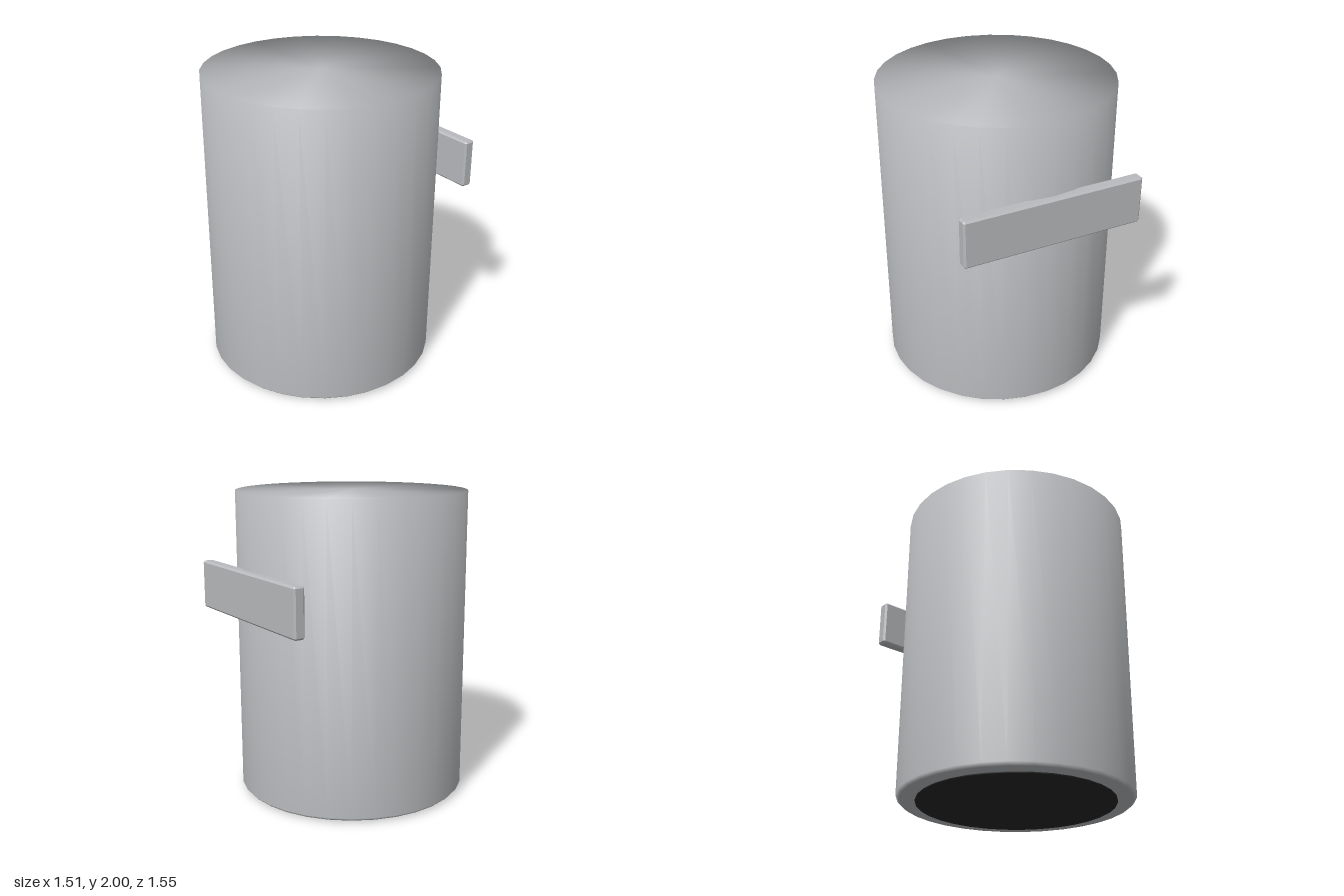
import * as THREE from 'three';
import { ConvexGeometry } from 'three/addons/geometries/ConvexGeometry.js';

const material = (name, color) => {
  const m = new THREE.MeshStandardMaterial({ color });
  m.name = name;
  return m;
};

// Box whose edges and corners are all cut by one flat chamfer
function chamferedBox(w, h, d, c) {
  const points = [];
  for (const x of [-1, 1]) for (const y of [-1, 1]) for (const z of [-1, 1]) {
    for (let axis = 0; axis < 3; axis++) {
      const inset = [c, c, c];
      inset[axis] = 0;
      points.push(new THREE.Vector3(
        x * (w / 2 - inset[0]), y * (h / 2 - inset[1]), z * (d / 2 - inset[2])));
    }
  }
  return new ConvexGeometry(points);
}

// Lathe whose normals run smoothly over the rims
const turned = (profile) =>
  new THREE.LatheGeometry(profile.map(([r, y]) => new THREE.Vector2(r, y)), 32);

export function createModel() {
  const group = new THREE.Group();
  const grey = material('light grey', 0xb8babd);
  const dark = material('dark rubber', 0x262626);

  const add = (name, geometry, mat, x, y, z) => {
    const mesh = new THREE.Mesh(geometry, mat);
    mesh.name = name;
    mesh.position.set(x, y, z);
    group.add(mesh);
  };

  // Closed drum with a small chamfer at the foot
  add('body', turned([[0, 0.01], [0.735, 0.01], [0.755, 0.03], [0.755, 2], [0, 2]]),
    grey, 0, 0, 0.02);

  // Dark foot pad
  add('basePad', turned([[0, 0], [0.635, 0], [0.635, 0.012]]), dark, 0, 0, 0.02);

  // Flat bar across the back
  add('backPlate', chamferedBox(1.2, 0.315, 0.075, 0.012), grey, 0, 1.367, -0.737);

  return group;
}
